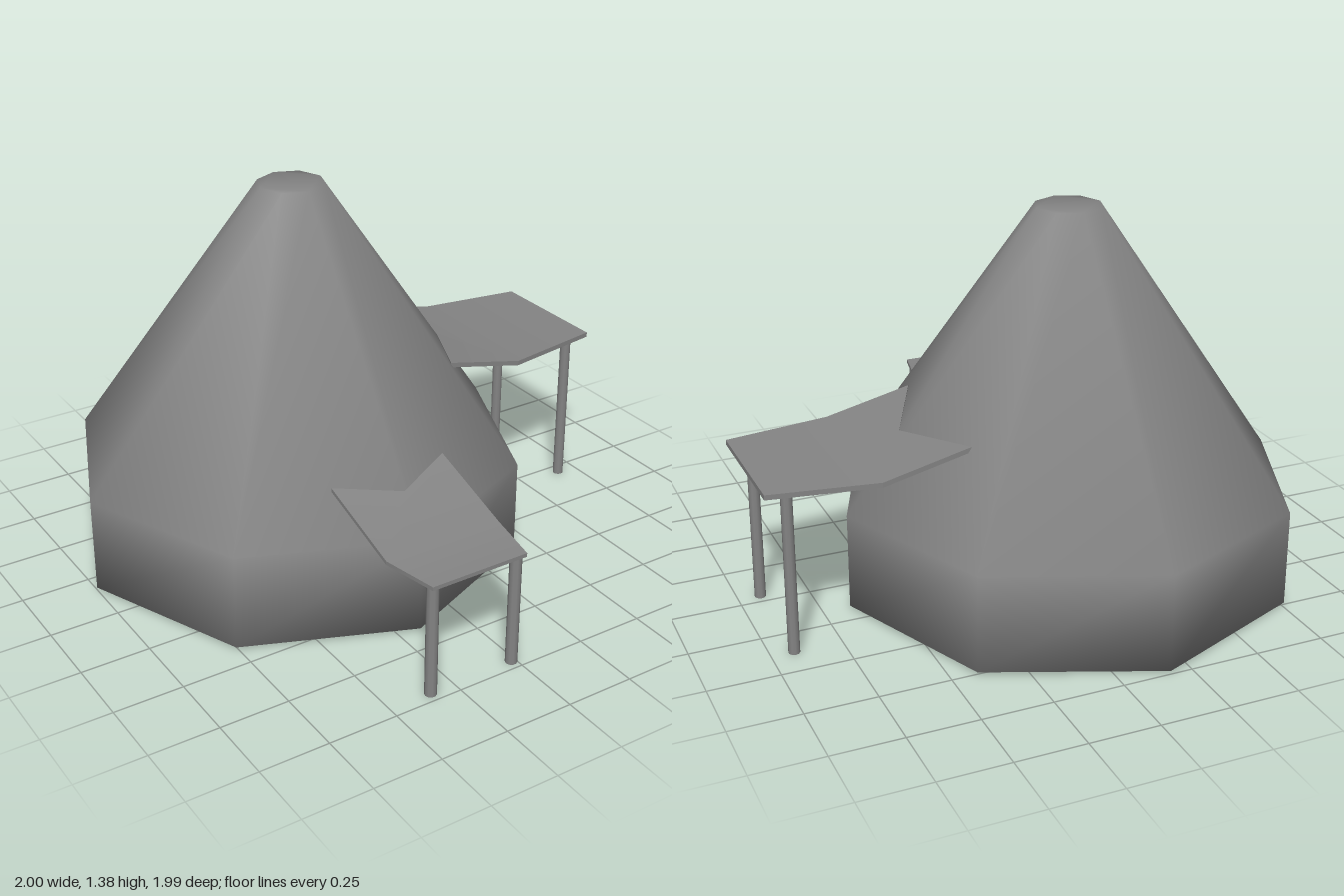
import * as THREE from 'three';

const grey = new THREE.MeshStandardMaterial({ color: 0x848484 });

function add(parent, geometry, name) {
  const mesh = new THREE.Mesh(geometry, grey);
  mesh.name = name;
  parent.add(mesh);
  return mesh;
}

// Eight-sided closed tent body from three rings; every face counts equally in the smooth normals
function tentGeometry() {
  const rings = [[0.827, 0.01], [0.827, 0.36], [0.12, 1.375]];
  const sides = 8, points = [], normals = [], index = [];
  for (const [r, y] of rings) {
    for (let i = 0; i < sides; i++) {
      const a = (i / sides) * Math.PI * 2;
      points.push(new THREE.Vector3(r * Math.sin(a), y, r * Math.cos(a)));
      normals.push(new THREE.Vector3());
    }
  }
  const face = (...ids) => {
    const [a, b, c] = ids.map((id) => points[id]);
    const n = new THREE.Triangle(a, b, c).getNormal(new THREE.Vector3());
    ids.forEach((id) => normals[id].add(n));
    for (let i = 1; i < ids.length - 1; i++) index.push(ids[0], ids[i], ids[i + 1]);
  };
  // Walls and roof slopes
  for (let k = 0; k < rings.length - 1; k++) {
    for (let i = 0; i < sides; i++) {
      const a = k * sides + i, b = k * sides + (i + 1) % sides;
      face(a, b, b + sides, a + sides);
    }
  }
  // Floor and crown: four corner triangles around a split square
  const caps = [[0, 1, 2], [2, 3, 4], [4, 5, 6], [6, 7, 0], [0, 2, 6], [2, 4, 6]];
  const top = (rings.length - 1) * sides;
  for (const [a, b, c] of caps) {
    face(c, b, a);
    face(top + a, top + b, top + c);
  }
  normals.forEach((n) => n.normalize());
  const geometry = new THREE.BufferGeometry().setFromPoints(points);
  geometry.setAttribute('normal', new THREE.Float32BufferAttribute(normals.flatMap((n) => n.toArray()), 3));
  geometry.setIndex(index);
  return geometry;
}

// Cloth panel, outline in (outward, sideways), lifted inward of the fold and shaded smoothly over it
function panelGeometry(outline, y, thickness, fold, slope) {
  const shape = new THREE.Shape(outline.map(([u, w]) => new THREE.Vector2(u, w)));
  const geometry = new THREE.ExtrudeGeometry(shape, { depth: thickness, bevelEnabled: false });
  geometry.rotateX(-Math.PI / 2);
  const p = geometry.attributes.position, normal = geometry.attributes.normal;
  const n = new THREE.Vector3();
  for (let i = 0; i < p.count; i++) {
    const inward = fold - p.getX(i);
    p.setY(i, p.getY(i) + y + Math.max(0, inward) * slope);
    n.fromBufferAttribute(normal, i);
    if (Math.abs(n.y) > 0.5) {
      const tilt = Math.abs(inward) < 1e-4 ? 0.5 : inward > 0 ? 1 : 0;
      n.set(slope * tilt, 1, 0).normalize().multiplyScalar(Math.sign(normal.getY(i)));
      normal.setXYZ(i, n.x, n.y, n.z);
    }
  }
  return geometry;
}

// Awning pointing along +x, with a notch fitting the tent and two poles
function awning(name, s) {
  const group = new THREE.Group();
  group.name = name;
  const slope = s.rise / (s.fold - s.inner);
  const roof = [[s.inner, -s.half], [s.fold, -s.half], [s.fold, s.half], [s.inner, s.half], [s.notch, 0]];
  const flap = [[s.fold, -s.half], [s.outer, -s.endHalf], [s.outer, s.endHalf], [s.fold, s.half]];
  add(group, panelGeometry(roof, s.y, s.thickness, s.fold, slope), 'awningSlope');
  add(group, panelGeometry(flap, s.y, s.thickness, s.fold, slope), 'awningFlap');
  for (const side of [-1, 1]) {
    const pole = add(group, new THREE.CylinderGeometry(s.poleR, s.poleR, s.y + 0.005, 10), 'awningPole');
    pole.position.set(s.poleX, (s.y + 0.005) / 2, side * s.poleZ);
  }
  return group;
}

export function createModel() {
  const model = new THREE.Group();
  model.name = 'tent';

  const body = add(model, tentGeometry(), 'tentBody');
  body.position.set(-0.173, 0, -0.17);

  // Large awning on the left side
  const large = awning('sideAwning', {
    inner: 0.31, notch: 0.455, fold: 0.62, outer: 1, half: 0.3, endHalf: 0.24,
    y: 0.59, thickness: 0.018, rise: 0.072, poleX: 0.92, poleZ: 0.21, poleR: 0.02,
  });
  large.position.z = -0.168;
  model.add(large);

  // Small awning at the front
  const small = awning('frontAwning', {
    inner: 0.46, notch: 0.56, fold: 0.79, outer: 0.993, half: 0.224, endHalf: 0.184,
    y: 0.418, thickness: 0.014, rise: 0.107, poleX: 0.963, poleZ: 0.163, poleR: 0.021,
  });
  small.position.x = -0.181;
  small.rotation.y = -Math.PI / 2;
  model.add(small);

  return model;
}
